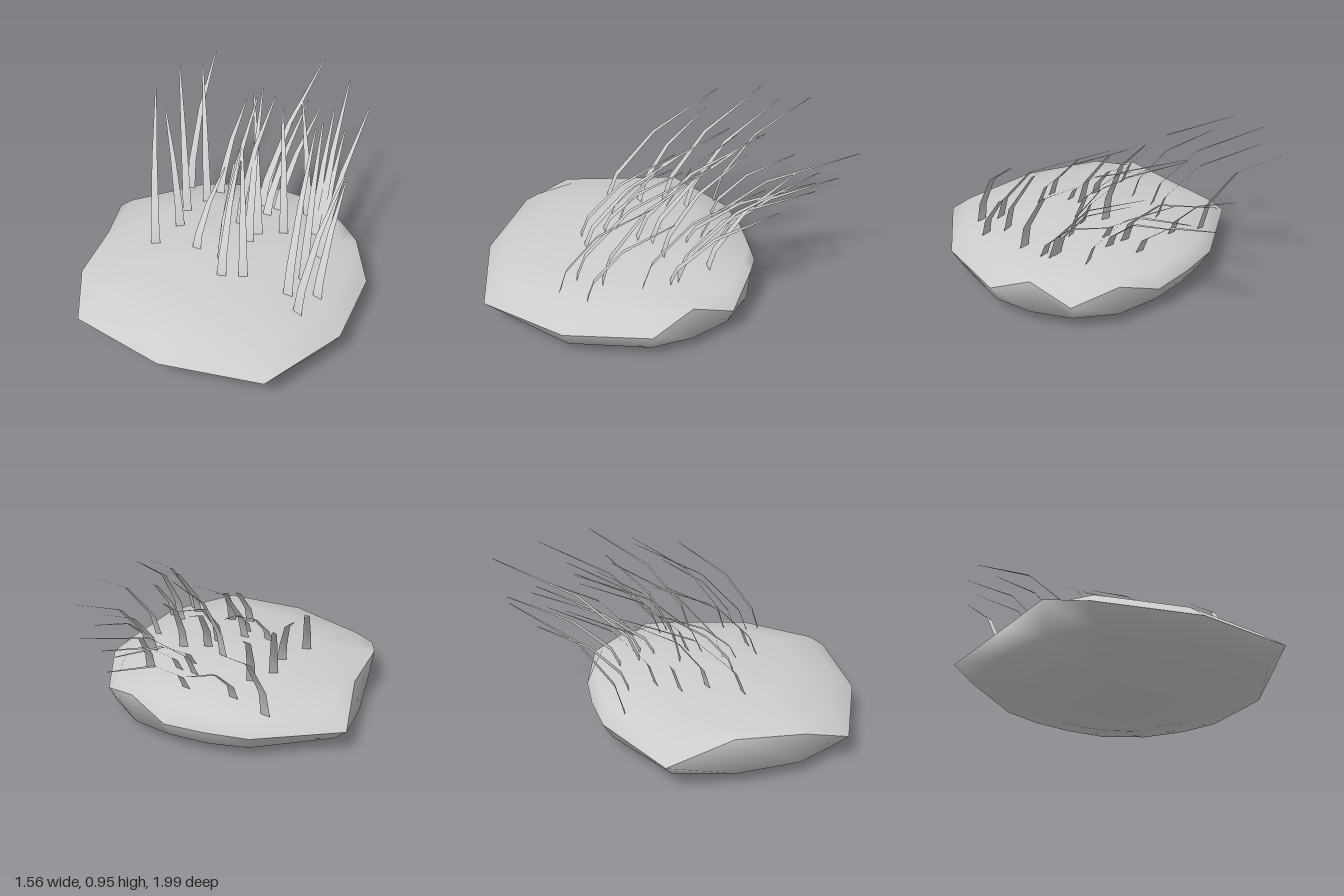
import * as THREE from 'three';

// Rim of the rock: x, y, z, upper shoulder scale, lower shoulder scale
const RIM = [
  [-0.78, 0.175, -0.04, 0.87, 0.89],
  [-0.65, 0.26, 0.3, 0.9, 1.06],
  [-0.6, 0.265, 0.65, 0.88, 0.97],
  [-0.48, 0.175, 0.89, 0.86, 0.9],
  [0.04, 0.175, 0.99, 0.86, 0.9],
  [0.56, 0.175, 0.89, 0.86, 0.9],
  [0.78, 0.175, 0.44, 0.87, 0.94],
  [0.77, 0.175, -0.01, 0.87, 0.95],
  [0.64, 0.27, -0.2, 0.9, 1.0],
  [0.52, 0.175, -0.4, 0.92, 0.95],
  [0.28, 0.26, -0.485, 0.93, 0.98],
  [0.05, 0.175, -0.51, 0.95, 0.94],
  [-0.18, 0.18, -0.46, 0.94, 0.94],
  [-0.4, 0.18, -0.38, 0.92, 0.92],
];
const CENTRE_Z = 0.2;

// Horizontal ring made by shrinking the rim towards the centre
const ring = (scaleOf, yOf) => RIM.map((p) => {
  const s = scaleOf(p);
  return [p[0] * s, yOf(p), CENTRE_Z + (p[2] - CENTRE_Z) * s];
});

// Skin rings listed from top to bottom
function skin(rings) {
  const n = RIM.length;
  const index = [];
  for (let r = 0; r < rings.length - 1; r++) {
    for (let i = 0; i < n; i++) {
      const j = (i + 1) % n;
      const a = r * n + i, b = a + n, c = (r + 1) * n + j, d = r * n + j;
      index.push(a, b, c, a, c, d);
    }
  }
  const geo = new THREE.BufferGeometry();
  geo.setAttribute('position', new THREE.Float32BufferAttribute(rings.flat(2), 3));
  geo.setIndex(index);
  geo.computeVertexNormals();
  return geo;
}

// Grass blades: base x, base z, tip x, tip y, tip z
const BLADES = [
  [-0.31, 0.36, -0.62, 0.9, -0.26], [-0.26, 0.17, -0.53, 0.82, -0.2],
  [-0.29, 0.03, -0.6, 0.93, -0.51], [-0.23, -0.1, -0.5, 0.9, -0.61],
  [-0.42, -0.26, -0.5, 0.92, -0.79], [-0.22, -0.25, -0.26, 0.68, -0.71],
  [-0.09, 0.31, -0.085, 0.65, -0.04], [0.125, 0.45, 0, 0.79, -0.06],
  [0.23, 0.41, -0.02, 0.8, -0.12], [0.07, 0.33, -0.06, 0.65, -0.1],
  [0.04, 0.26, -0.03, 0.94, -0.34], [0.14, 0.14, -0.08, 0.89, -0.53],
  [0.16, 0.06, -0.12, 0.86, -0.5], [0.28, -0.01, 0.08, 0.85, -0.44],
  [0.03, 0.02, 0.06, 0.95, -0.38], [0.04, -0.31, 0.04, 0.71, -0.92],
  [0.13, -0.12, 0.1, 0.71, -0.8], [0.06, -0.2, 0.12, 0.9, -1.0],
  [0.16, -0.2, 0.19, 0.71, -0.79], [0.33, -0.25, 0.1, 0.77, -0.7],
  [0.42, -0.1, 0.32, 0.8, -0.63], [0.45, -0.1, 0.35, 0.91, -0.78],
  [0.48, -0.06, 0.4, 0.7, -0.6], [0.52, 0.07, 0.55, 0.92, -0.52],
  [0.48, 0.42, 0.35, 0.9, -0.24], [0.51, 0.28, 0.38, 0.93, -0.26],
  [0.56, 0.49, 0.6, 0.82, 0.0], [0.61, 0.34, 0.58, 0.72, -0.1],
];

// Bend of every blade: share of lean, share of height, half width
const BEND = [[0, 0, 0.025], [0.09, 0.26, 0.021], [0.43, 0.66, 0.014], [1, 1, 0.004]];

// Tapered ribbon facing the way it leans
function bladeGeometry([bx, bz, tx, ty, tz]) {
  const by = 0.335 - 0.18 * (bx * bx + (bz - CENTRE_Z) ** 2);
  const dx = tx - bx, dz = tz - bz, len = Math.hypot(dx, dz);
  const position = [], index = [];
  BEND.forEach(([lean, rise, half], k) => {
    const x = bx + dx * lean, y = by + (ty - by) * rise, z = bz + dz * lean;
    const wx = (-dz / len) * half, wz = (dx / len) * half;
    position.push(x - wx, y, z - wz, x + wx, y, z + wz);
    if (k < BEND.length - 1) {
      const a = k * 2;
      index.push(a, a + 1, a + 3, a, a + 3, a + 2);
    }
  });
  const geo = new THREE.BufferGeometry();
  geo.setAttribute('position', new THREE.Float32BufferAttribute(position, 3));
  geo.setIndex(index);
  geo.computeVertexNormals();
  return geo;
}

export function createModel() {
  const model = new THREE.Group();
  model.name = 'grassyRock';
  const stone = new THREE.MeshStandardMaterial({ color: 0xcccccc, side: THREE.DoubleSide });
  stone.name = 'pale grey';

  const add = (parent, name, geo) => {
    const mesh = new THREE.Mesh(geo, stone);
    mesh.name = name;
    parent.add(mesh);
  };

  // Rock: two smooth shells meeting in a sharp rim
  const rim = ring(() => 1, (p) => p[1]);
  const rock = new THREE.Group();
  rock.name = 'rock';
  add(rock, 'rockTop', skin([
    ring(() => 0, () => 0.347),
    ring(() => 0.55, () => 0.332),
    ring((p) => p[3], (p) => (p[1] > 0.2 ? 0.285 : 0.265)),
    rim,
  ]));
  add(rock, 'rockUnderside', skin([
    rim,
    ring((p) => p[4], () => 0.085),
    ring(() => 0.55, () => 0.015),
    ring(() => 0, () => 0),
  ]));
  model.add(rock);

  // Grass leaning back over the rock
  const grass = new THREE.Group();
  grass.name = 'grass';
  BLADES.forEach((b) => add(grass, 'grassBlade', bladeGeometry(b)));
  model.add(grass);
  return model;
}
